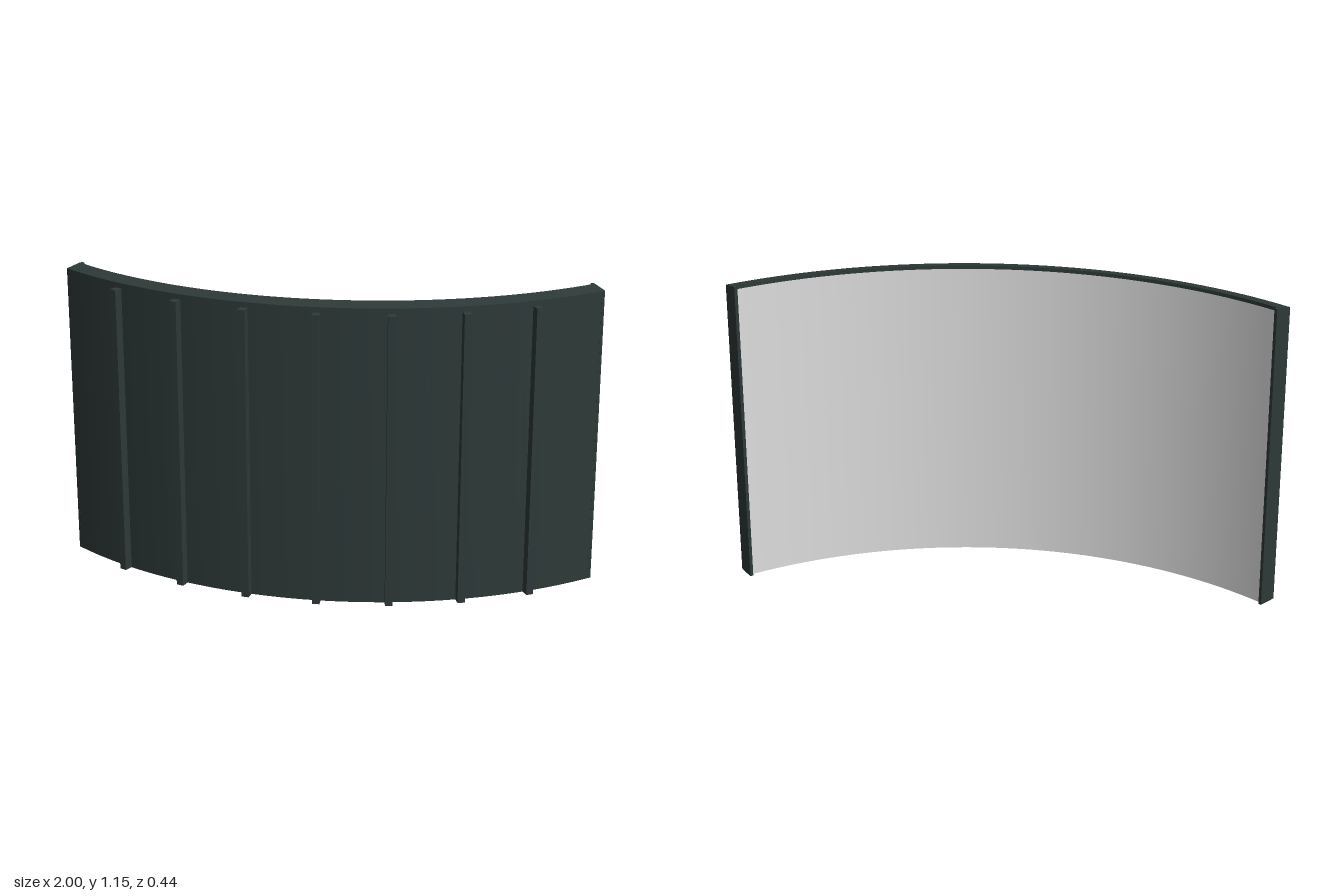
import * as THREE from 'three';
import { toCreasedNormals } from 'three/addons/utils/BufferGeometryUtils.js';

const OUTER = 1.59, INNER = 1.53;      // radii of the curved wall
const CENTRE_Z = -1.403;               // axis of the curve
const HALF = Math.asin(1 / OUTER);     // half of the arc angle
const FRONT_TOP = 1.137, BACK_TOP = 1.148;
const TRIM = 0.012;                    // thickness of the end frames
const ARC = HALF - TRIM / INNER;       // wall stops where the frames begin

export function createModel() {
  const group = new THREE.Group();
  const dark = new THREE.MeshStandardMaterial({ color: 0x2d3938 });
  dark.name = 'dark casing';
  const grey = new THREE.MeshStandardMaterial({ color: 0xdedede });
  grey.name = 'light grey screen';

  const add = (name, geometry, material) => {
    const mesh = new THREE.Mesh(geometry, material);
    mesh.name = name;
    group.add(mesh);
    return mesh;
  };

  // Sweeps a (radius, height) profile along the arc
  const sweep = (profile) => {
    const points = profile.map(([r, y]) => new THREE.Vector2(r, y));
    const geometry = new THREE.LatheGeometry(points, 48, -ARC, 2 * ARC);
    return toCreasedNormals(geometry.translate(0, 0, CENTRE_Z), 0.3);
  };

  // Casing: underside, front, sloping top and thin upper lip
  add('casing', sweep([
    [INNER, 0], [OUTER, 0], [OUTER, FRONT_TOP], [INNER, BACK_TOP], [INNER, FRONT_TOP - 0.002],
  ]), dark);

  // Concave screen surface on the back
  add('screen', sweep([[INNER, FRONT_TOP - 0.002], [INNER, 0]]), grey);

  // End frames, standing slightly proud of the screen
  const lip = INNER - TRIM;
  const section = new THREE.Shape([
    [lip, 0], [OUTER, 0], [OUTER, FRONT_TOP], [INNER, BACK_TOP], [lip, BACK_TOP],
  ].map(([r, y]) => new THREE.Vector2(r, y)));
  for (const side of [-1, 1]) {
    const geometry = new THREE.ExtrudeGeometry(section, { depth: TRIM, bevelEnabled: false });
    if (side < 0) geometry.translate(0, 0, -TRIM);
    const frame = add(side > 0 ? 'leftEndFrame' : 'rightEndFrame', geometry, dark);
    frame.rotation.y = side * HALF - Math.PI / 2;
    frame.position.z = CENTRE_Z;
  }

  // Seven upright ribs on the convex front
  const ribHeight = 1.117, ribRadius = 1.6;
  for (let i = -3; i <= 3; i++) {
    const angle = i * 0.167;
    const rib = add('rib', new THREE.BoxGeometry(0.028, ribHeight, 0.046), dark);
    rib.position.set(ribRadius * Math.sin(angle), ribHeight / 2, CENTRE_Z + ribRadius * Math.cos(angle));
    rib.rotation.y = angle;
  }

  return group;
}
